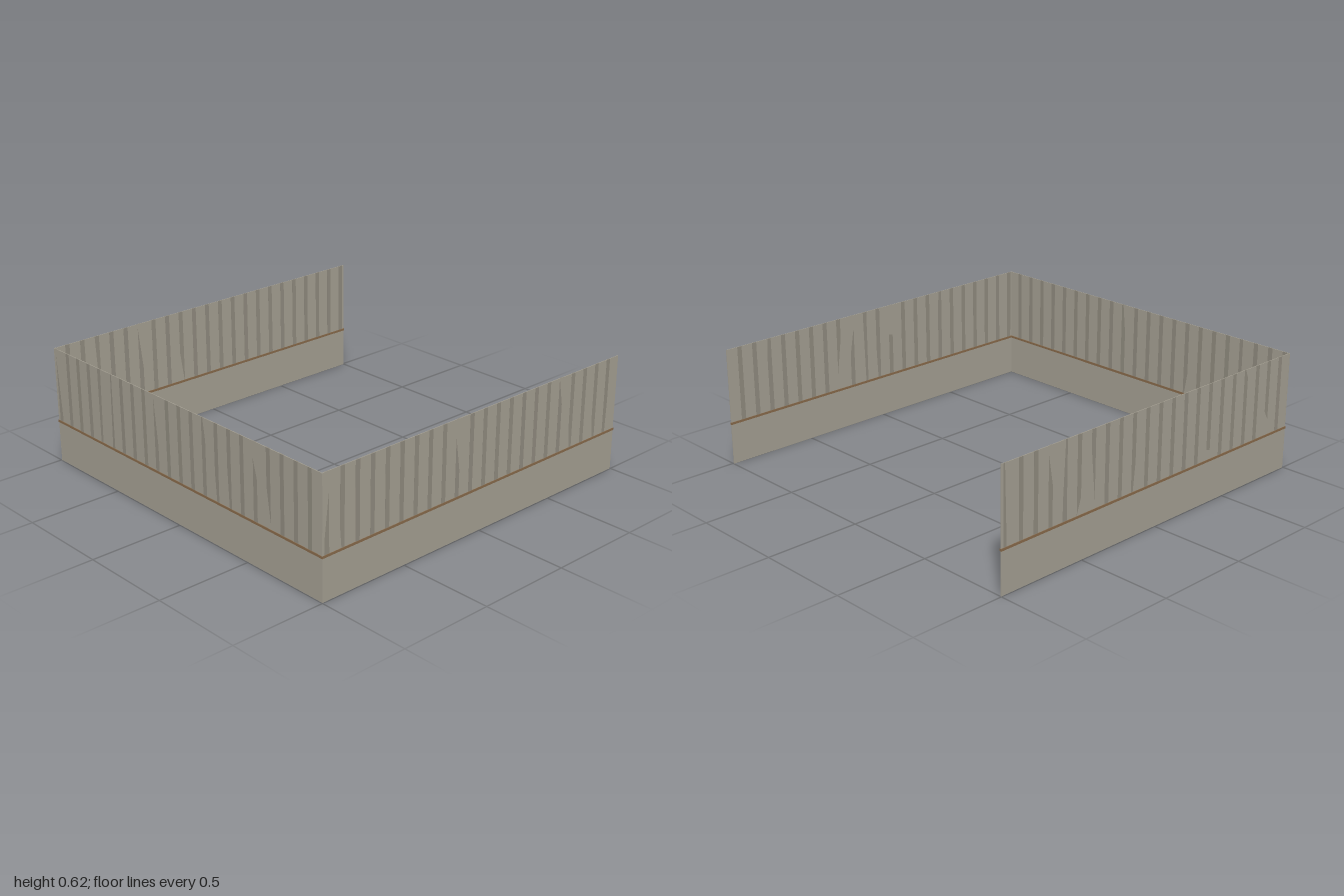
import * as THREE from 'three';

const HEIGHT = 0.62, RAIL_Y = 0.222, PITCH = 0.09, CENTRE = 0.995;

const boardMaterial = new THREE.MeshStandardMaterial({ color: 0xa39e91 });
const battenMaterial = new THREE.MeshStandardMaterial({ color: 0x8f8a7e });
const baseMaterial = new THREE.MeshStandardMaterial({ color: 0xa39e91 });
const railMaterial = new THREE.MeshStandardMaterial({ color: 0x86694a });

// Small repeatable generator for the uneven timber
function seeded(seed) {
  return () => (seed = (seed * 16807) % 2147483647) / 2147483647;
}

function addBox(parent, name, material, size, position) {
  const mesh = new THREE.Mesh(new THREE.BoxGeometry(...size), material);
  mesh.name = name;
  mesh.position.set(...position);
  parent.add(mesh);
  return mesh;
}

// One wall, running along x and facing +z
function createWall(name, seed) {
  const wall = new THREE.Group();
  wall.name = name;
  const random = seeded(seed);
  const upper = HEIGHT - RAIL_Y;
  const middle = RAIL_Y + upper / 2;

  // Plain plinth, boarded panel above it and the rail between them
  addBox(wall, 'plinth', baseMaterial, [1.996, RAIL_Y, 0.005], [0, RAIL_Y / 2, CENTRE]);
  addBox(wall, 'boarding', boardMaterial, [1.996, upper, 0.004], [0, middle, CENTRE]);
  addBox(wall, 'rail', railMaterial, [2, 0.012, 0.01], [0, RAIL_Y, CENTRE]);

  // Shallow upright battens, leaning very slightly in and out of the boarding
  for (let i = 0; i < 22; i++) {
    const x = -0.97 + i * PITCH;
    const batten = addBox(wall, 'batten', battenMaterial, [0.026, upper, 0.005],
      [x, middle, CENTRE + (random() - 0.5) * 0.001]);
    batten.rotation.x = (random() - 0.5) * 0.004;
    batten.rotation.y = (random() - 0.5) * 0.04;
  }
  return wall;
}

export function createModel() {
  const model = new THREE.Group();
  model.name = 'enclosure';
  // Three walls; the back is open
  const front = createWall('frontWall', 17);
  const left = createWall('leftWall', 101);
  const right = createWall('rightWall', 733);
  left.rotation.y = Math.PI / 2;
  right.rotation.y = -Math.PI / 2;
  model.add(front, left, right);
  return model;
}
